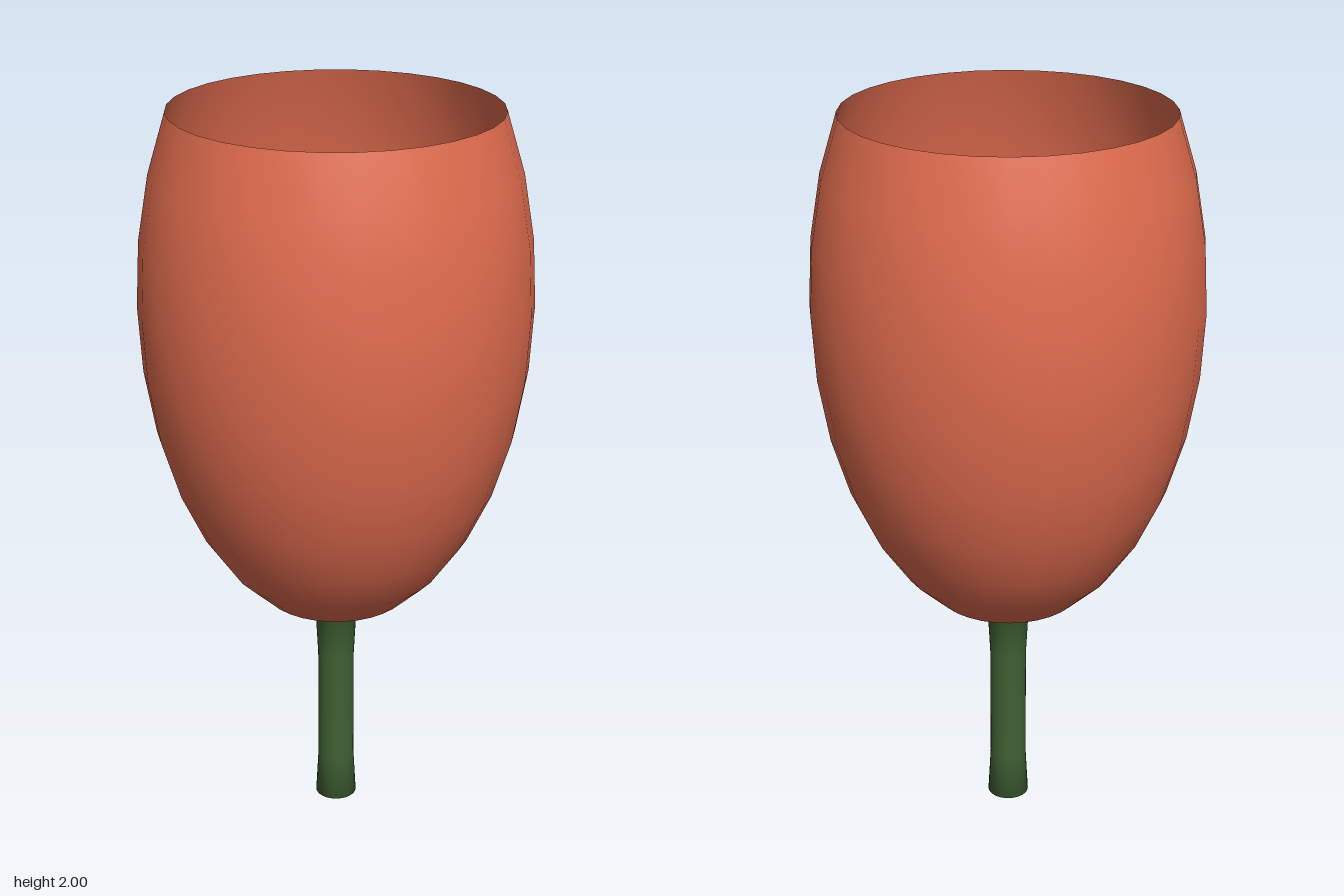
import * as THREE from 'three';

const SIDES = 32;

export function createModel() {
  const petal = new THREE.MeshStandardMaterial({ color: 0xe06c4e, side: THREE.DoubleSide });
  petal.name = 'coral';
  const leaf = new THREE.MeshStandardMaterial({ color: 0x3f6033, side: THREE.DoubleSide });
  leaf.name = 'dark green';

  // Stem profile: closed foot, slim middle, flared top
  const points = [[0, 0], [0.057, 0], [0.05, 0.13], [0.05, 0.45], [0.057, 0.585]]
    .map(([r, y]) => new THREE.Vector2(r, y));
  const stemBands = points.length - 1;

  // Cup profile: a tall ellipsoid cut off above its widest ring
  for (let i = 1; i <= 13; i++) {
    const a = (i * Math.PI) / 16;
    points.push(new THREE.Vector2(0.515 * Math.sin(a), Math.min(2, 1.49 - 0.91 * Math.cos(a))));
  }
  // Trim the profile where the rim reaches the full height
  while (points[points.length - 2].y >= 1.99) points.pop();

  // One continuous skin, so that shading flows from the stem into the cup
  const skin = new THREE.LatheGeometry(points, SIDES);
  const bands = points.length - 1;

  // Keep only the bands of the skin that belong to one part
  function part(name, from, to, material) {
    const geometry = skin.clone();
    const all = skin.index.array;
    const index = [];
    for (let s = 0; s < SIDES; s++) {
      const start = s * bands * 6;
      index.push(...all.slice(start + from * 6, start + to * 6));
    }
    geometry.setIndex(index);
    const mesh = new THREE.Mesh(geometry, material);
    mesh.name = name;
    return mesh;
  }

  const group = new THREE.Group();
  group.name = 'tulipGoblet';
  group.add(part('stem', 0, stemBands, leaf), part('cup', stemBands, bands, petal));
  return group;
}
